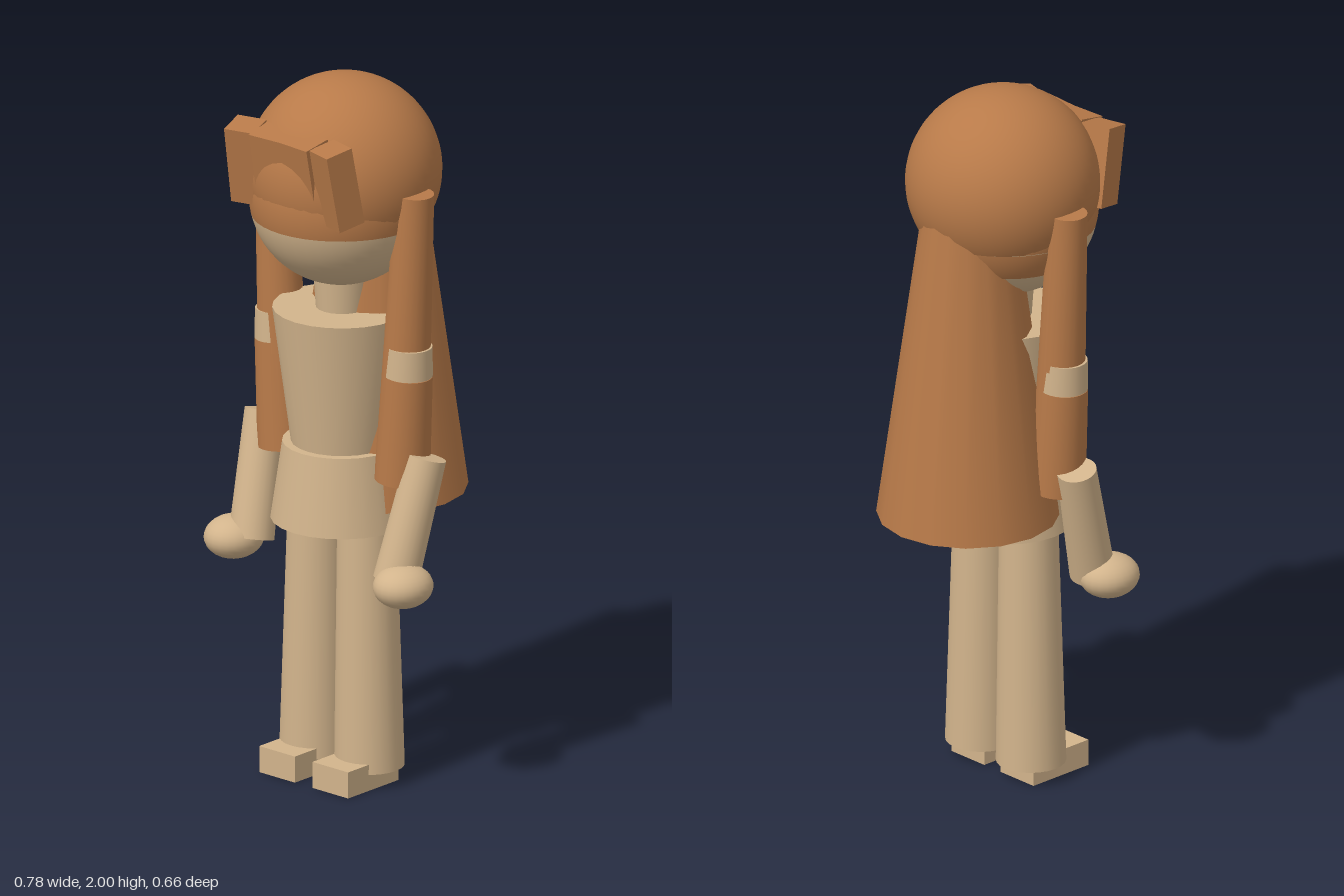
import * as THREE from 'three';

export function createModel() {
  const model = new THREE.Group();
  const skin = new THREE.MeshStandardMaterial({ color: 0xd2b48c });
  skin.name = 'skin';
  const hair = new THREE.MeshStandardMaterial({ color: 0xb87a49 });
  hair.name = 'hair';

  const add = (name, geo, mat, x = 0, y = 0, z = 0) => {
    const mesh = new THREE.Mesh(geo, mat);
    mesh.name = name;
    mesh.position.set(x, y, z);
    model.add(mesh);
    return mesh;
  };

  // Tapered limb running from a top point to a bottom point
  const limb = (name, mat, top, bottom, rTop, rBottom, sides = 24) => {
    const a = new THREE.Vector3(...top), b = new THREE.Vector3(...bottom);
    const axis = a.clone().sub(b);
    const mesh = add(name, new THREE.CylinderGeometry(rTop, rBottom, axis.length(), sides), mat);
    mesh.position.copy(a).add(b).multiplyScalar(0.5);
    mesh.quaternion.setFromUnitVectors(new THREE.Vector3(0, 1, 0), axis.normalize());
    return mesh;
  };

  // Head: scalp over a face that shows below the hairline
  const hairline = Math.acos((1.61 - 1.665) / 0.25);
  const nape = Math.acos((1.53 - 1.665) / 0.25);
  add('scalp', new THREE.SphereGeometry(0.266, 48, 32, 0, Math.PI * 2, 0, Math.acos((1.61 - 1.734) / 0.266)), hair, 0, 1.734, 0.05);
  add('upperHead', new THREE.SphereGeometry(0.25, 40, 24, 0, Math.PI * 2, 0, hairline), hair, 0, 1.665, 0.065);
  add('face', new THREE.SphereGeometry(0.25, 40, 16, 0, Math.PI * 2, hairline, Math.PI - hairline), skin, 0, 1.665, 0.065);
  add('napeHair', new THREE.SphereGeometry(0.252, 32, 6, Math.PI, Math.PI, hairline, nape - hairline), hair, 0, 1.665, 0.065);

  // Long hair hanging down the back
  add('backHair', new THREE.CylinderGeometry(0.115, 0.25, 0.97, 16), hair, 0, 1.275, -0.08);

  // Trunk
  add('neck', new THREE.CylinderGeometry(0.08, 0.07, 0.14, 20), skin, 0, 1.385, 0.06);
  add('torso', new THREE.CylinderGeometry(0.19, 0.137, 0.4, 24), skin, 0, 1.14, 0.06);
  add('hips', new THREE.CylinderGeometry(0.163, 0.195, 0.22, 24), skin, 0, 0.845, 0.06);

  for (const s of [1, -1]) {
    const side = s > 0 ? 'left' : 'right';

    // Fringe: tilted curls, tops leaning forward
    for (const [n, x, z, turn, w] of [['Inner', 0.055, 0.257, 0.06, 0.108], ['Outer', 0.16, 0.26, 0.25, 0.088]]) {
      const curl = add(side + n + 'Fringe', new THREE.BoxGeometry(w, 0.225, 0.083), hair, s * x, 1.772, z);
      curl.rotation.set(0.19, -s * turn, 0, 'YXZ');
    }

    // Side lock and the upper arm behind it, with a bare band at the shoulder
    limb(side + 'SideLock', hair, [s * 0.255, 1.72, 0.05], [s * 0.21, 0.9, 0.053], 0.054, 0.073);
    limb(side + 'ShoulderBand', skin, [s * 0.238, 1.28, 0.053], [s * 0.234, 1.195, 0.053], 0.064, 0.068);
    limb(side + 'UpperArm', hair, [s * 0.234, 1.195, 0.053], [s * 0.213, 0.89, 0.053], 0.068, 0.076);

    // Forearm and hand
    limb(side + 'Forearm', skin, [s * 0.295, 0.97, 0.045], [s * 0.263, 0.63, 0.135], 0.055, 0.063);
    add(side + 'Hand', new THREE.SphereGeometry(0.08, 24, 16), skin, s * 0.308, 0.63, 0.155).scale.set(1, 0.75, 1.08);

    // Leg and foot
    limb(side + 'Leg', skin, [s * 0.09, 0.78, 0.06], [s * 0.1, 0.045, 0.06], 0.08, 0.096);
    add(side + 'Foot', new THREE.BoxGeometry(0.13, 0.075, 0.205), skin, s * 0.097, 0.0375, 0.113);
  }
  return model;
}
